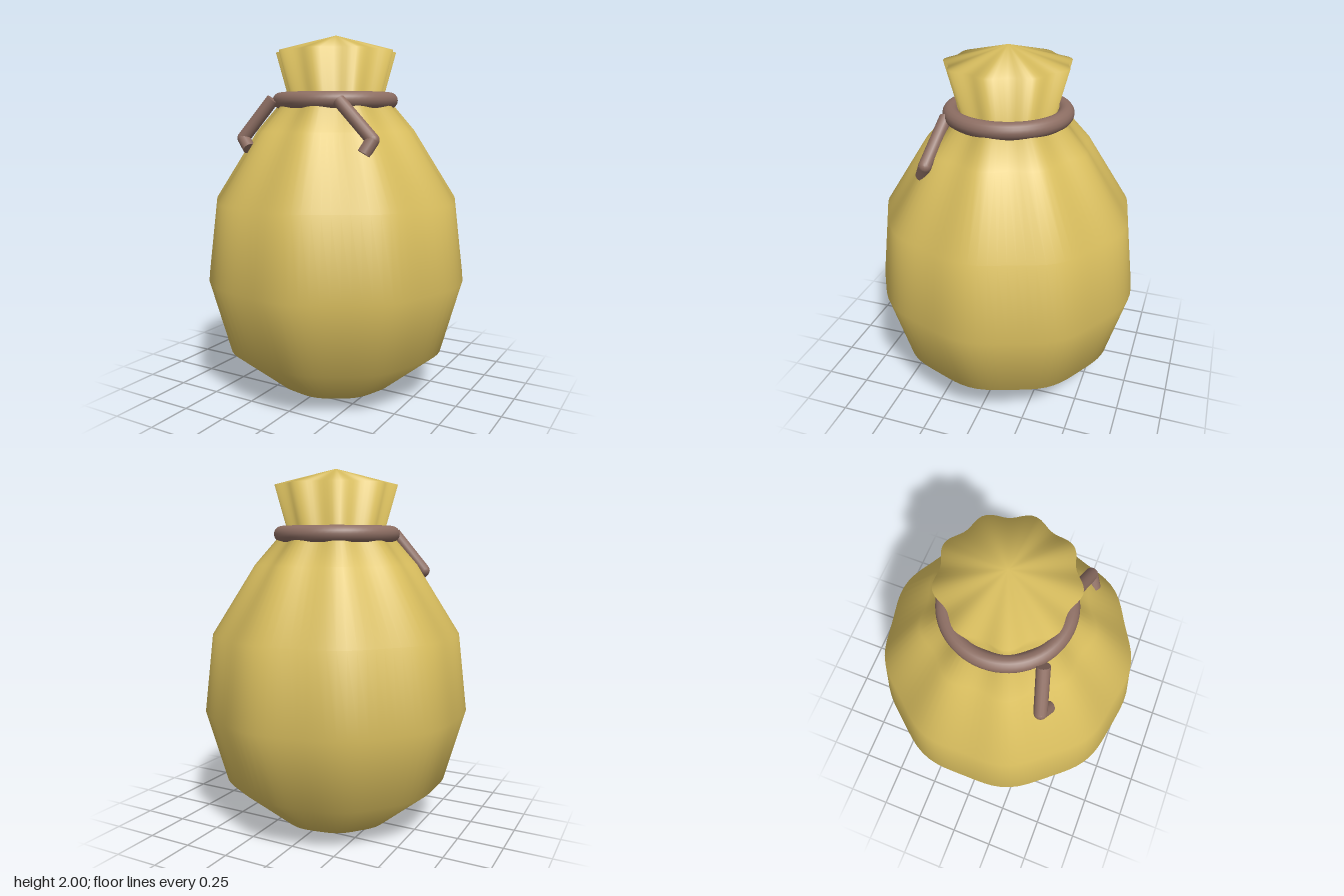
import * as THREE from 'three';
import { mergeVertices } from 'three/addons/utils/BufferGeometryUtils.js';

const cloth = new THREE.MeshStandardMaterial({ name: 'yellow cloth', color: 0xdabf5f });
const cord = new THREE.MeshStandardMaterial({ name: 'brown rope', color: 0x8d6e63 });
const FOLDS = 9;

// Sack: a lathed profile pushed in and out into soft vertical folds.
// Each row: radius, height, fold depth
function makeSack() {
  const profile = [
    [0, 0.005, 0], [0.335, 0.03, 0.004], [0.622, 0.27, 0.008], [0.733, 0.67, 0.01],
    [0.68, 1.1, 0.012], [0.435, 1.48, 0.018], [0.265, 1.68, 0.012],
    [0.325, 1.91, 0.016], [0, 2, 0],
  ];
  const geometry = new THREE.LatheGeometry(profile.map(([r, y]) => new THREE.Vector2(r, y)), 90);
  const p = geometry.attributes.position;
  for (let i = 0; i < p.count; i++) {
    const [r, , depth] = profile[i % profile.length];
    if (r === 0) continue;
    const angle = Math.atan2(p.getZ(i), p.getX(i));
    const k = 1 + (depth * Math.cos(FOLDS * angle)) / r;
    p.setX(i, p.getX(i) * k);
    p.setZ(i, p.getZ(i) * k);
  }
  // Weld the seam so the shading stays smooth all round
  geometry.deleteAttribute('uv');
  geometry.deleteAttribute('normal');
  const welded = mergeVertices(geometry, 1e-4);
  welded.computeVertexNormals();
  const sack = new THREE.Mesh(welded, cloth);
  sack.name = 'sack';
  return sack;
}

// Rope tail: straight lengths with a rounded elbow between them
function makeTail(name, coords) {
  const radius = 0.035;
  const tail = new THREE.Group();
  tail.name = name;
  const points = coords.map((c) => new THREE.Vector3(...c));
  for (let i = 0; i < points.length - 1; i++) {
    const along = points[i + 1].clone().sub(points[i]);
    const length = new THREE.Mesh(new THREE.CylinderGeometry(radius, radius, along.length(), 16), cord);
    length.name = 'ropeLength';
    length.position.copy(points[i]).addScaledVector(along, 0.5);
    length.quaternion.setFromUnitVectors(new THREE.Vector3(0, 1, 0), along.normalize());
    tail.add(length);
    if (i > 0) {
      const elbow = new THREE.Mesh(new THREE.SphereGeometry(radius, 16, 12), cord);
      elbow.name = 'ropeElbow';
      elbow.position.copy(points[i]);
      tail.add(elbow);
    }
  }
  return tail;
}

export function createModel() {
  const model = new THREE.Group();
  model.name = 'tiedSack';
  model.add(makeSack());

  // Rope ring around the neck
  const ring = new THREE.Mesh(new THREE.TorusGeometry(0.305, 0.045, 16, 64), cord);
  ring.name = 'neckRope';
  ring.rotation.x = Math.PI / 2;
  ring.position.set(-0.005, 1.645, 0);
  model.add(ring);

  // Loose ends hanging at the front
  model.add(makeTail('rightRopeTail', [[-0.24, 1.65, 0.27], [-0.402, 1.44, 0.325], [-0.345, 1.385, 0.35]]));
  model.add(makeTail('leftRopeTail', [[0.18, 1.64, 0.28], [0.392, 1.445, 0.315], [0.36, 1.375, 0.35]]));
  return model;
}
